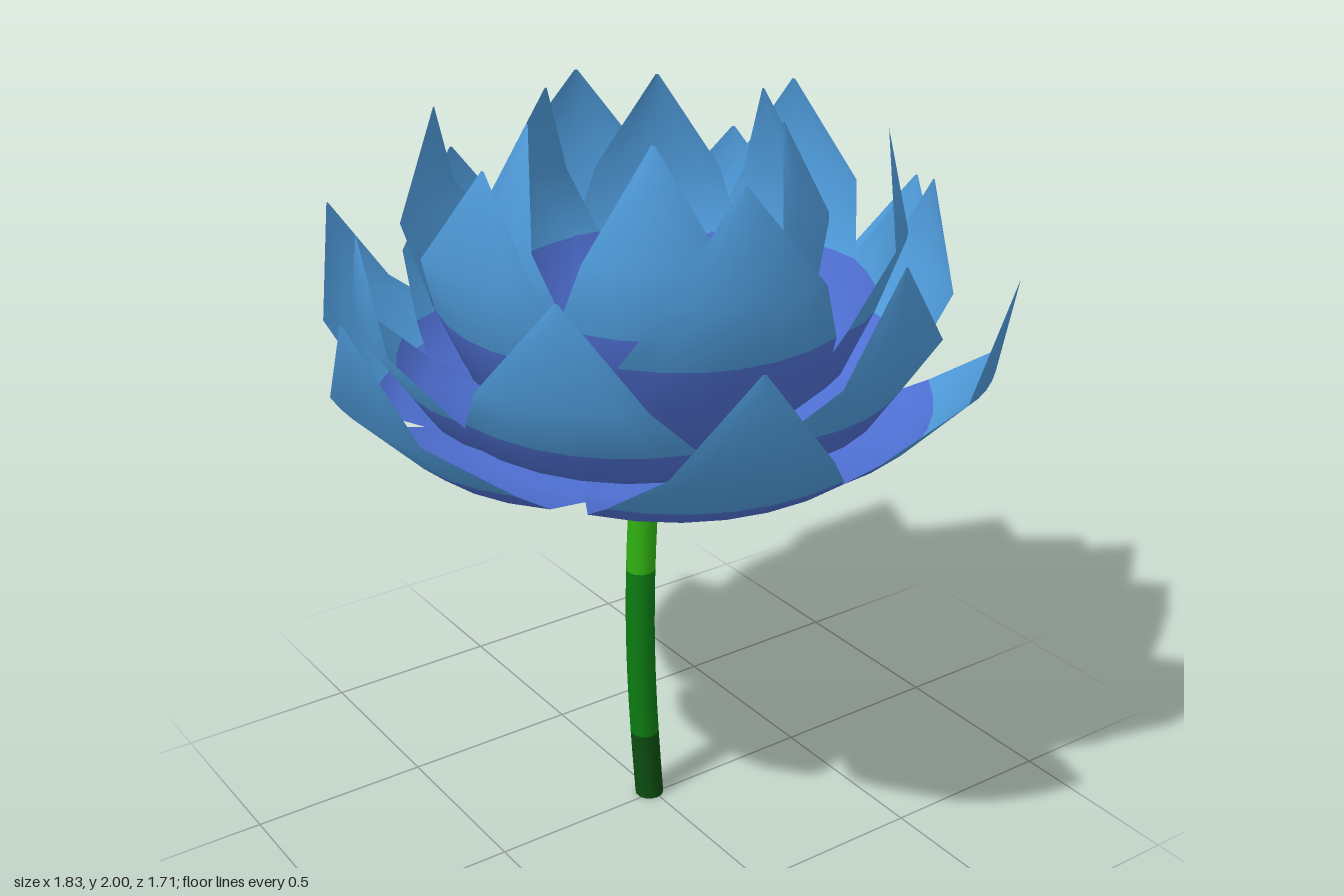
import * as THREE from 'three';

const paint = (name, color, side = THREE.FrontSide) => {
  const m = new THREE.MeshStandardMaterial({ color, side });
  m.name = name;
  return m;
};

// Petal rings, outer to inner. Rows run from base to tip: [radius, height, half width].
// The first `split` bands of rows carry the base colour, the rest the tip colour.
const RINGS = [
  {
    name: 'outerPetal', split: 3, angles: [-3, 54, 110, 174, 234, 297],
    rows: [[0.04, 1.15, 0.03], [0.45, 1.15, 0.27], [0.66, 1.2, 0.31], [0.72, 1.25, 0.285],
      [0.87, 1.4, 0.19], [0.918, 1.665, 0.004]],
  },
  {
    name: 'middlePetal', split: 3, angles: [19, 75, 141, 195, 257, 322],
    rows: [[0.04, 1.16, 0.03], [0.4, 1.18, 0.26], [0.6, 1.27, 0.32], [0.66, 1.36, 0.285],
      [0.76, 1.51, 0.205], [0.75, 1.76, 0.004]],
  },
  {
    name: 'innerPetal', split: 3, angles: [-15, 41, 104, 167, 229, 283],
    rows: [[0.04, 1.17, 0.03], [0.32, 1.2, 0.22], [0.49, 1.36, 0.3], [0.565, 1.53, 0.275],
      [0.63, 1.71, 0.195], [0.57, 1.965, 0.004]],
  },
  {
    name: 'heartPetal', split: 3, angles: [0, 58, 125, 188, 250, 306],
    rows: [[0.04, 1.18, 0.03], [0.25, 1.23, 0.18], [0.36, 1.4, 0.235], [0.41, 1.55, 0.225],
      [0.435, 1.73, 0.165], [0.335, 2, 0.004]],
  },
];

// One cupped petal pointing along +x, wrapped around the flower's axis
function petalGeometry(rows, split) {
  const cols = 6;
  const pos = [], index = [];
  for (const [r, y, half] of rows) {
    for (let j = 0; j <= cols; j++) {
      const t = (j / cols) * 2 - 1;
      const z = t * half;
      pos.push(Math.sqrt(r * r - z * z), y + 0.05 * half * t * t, z);
    }
  }
  for (let i = 0; i < rows.length - 1; i++) {
    for (let j = 0; j < cols; j++) {
      const a = i * (cols + 1) + j, b = a + cols + 1;
      index.push(a, b, a + 1, a + 1, b, b + 1);
    }
  }
  const geo = new THREE.BufferGeometry();
  geo.setAttribute('position', new THREE.Float32BufferAttribute(pos, 3));
  geo.setIndex(index);
  geo.computeVertexNormals();
  const cut = split * cols * 6;
  geo.addGroup(0, cut, 0);
  geo.addGroup(cut, index.length - cut, 1);
  return geo;
}

// A length of the gently bowed stem between two heights
function stemGeometry(y0, y1) {
  const geo = new THREE.CylinderGeometry(0.04, 0.04, y1 - y0, 14, 6);
  geo.translate(0, (y0 + y1) / 2, 0);
  const p = geo.attributes.position;
  for (let i = 0; i < p.count; i++) {
    const bow = Math.sin((Math.PI * p.getY(i)) / 1.16);
    p.setX(i, p.getX(i) - 0.008 - 0.024 * bow);
    p.setZ(i, p.getZ(i) - 0.014 - 0.008 * bow);
  }
  return geo;
}

export function createModel() {
  const model = new THREE.Group();
  model.name = 'waterFlower';

  const petalPaint = [
    paint('petalBaseBlue', 0x4f70d4, THREE.DoubleSide),
    paint('petalTipBlue', 0x4f9cdc, THREE.DoubleSide),
  ];

  // Four rings of six petals
  for (const ring of RINGS) {
    const group = new THREE.Group();
    group.name = ring.name + 's';
    const geo = petalGeometry(ring.rows, ring.split);
    for (const deg of ring.angles) {
      const petal = new THREE.Mesh(geo, petalPaint);
      petal.name = ring.name;
      petal.rotation.y = -THREE.MathUtils.degToRad(deg);
      group.add(petal);
    }
    model.add(group);
  }

  // Stem in three greens
  const bands = [
    ['stemBottom', 0, 0.21, paint('darkGreen', 0x0c4c10)],
    ['stemMiddle', 0.21, 0.73, paint('midGreen', 0x0c7c12)],
    ['stemTop', 0.73, 1.16, paint('lightGreen', 0x30b212)],
  ];
  for (const [name, y0, y1, material] of bands) {
    const band = new THREE.Mesh(stemGeometry(y0, y1), material);
    band.name = name;
    model.add(band);
  }
  return model;
}
